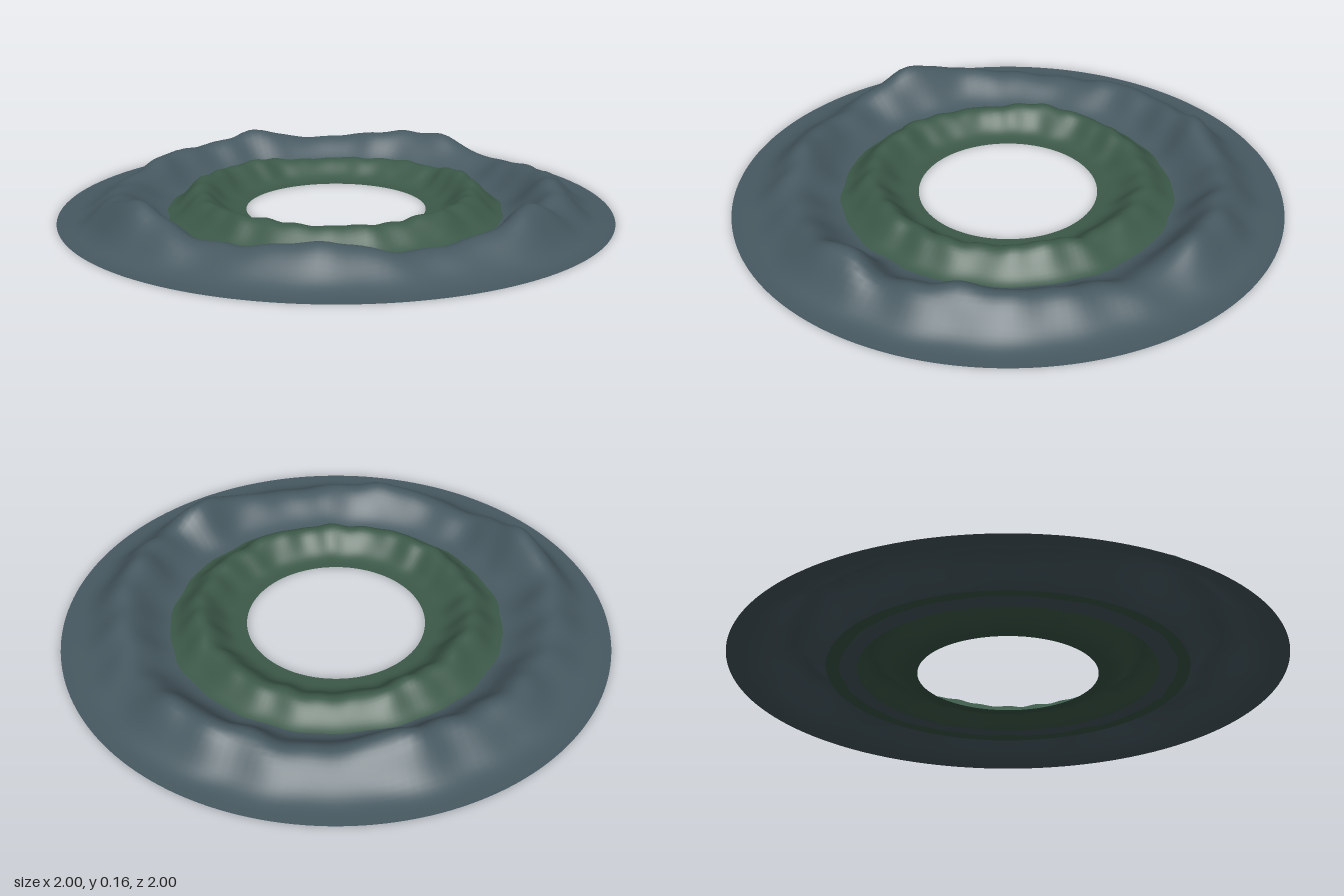
import * as THREE from 'three';
import { mergeVertices } from 'three/addons/utils/BufferGeometryUtils.js';

// Crest heights and crest radii at even steps around each ring, from +x turning towards +z
const OUTER_HEIGHTS = [
  0.146, 0.112, 0.085, 0.072, 0.074, 0.1, 0.112, 0.095, 0.08,
  0.084, 0.125, 0.156, 0.112, 0.092, 0.08, 0.074, 0.08, 0.1,
  0.106, 0.106, 0.12, 0.136, 0.1, 0.09, 0.1, 0.118, 0.124,
  0.122, 0.076, 0.07, 0.09, 0.1, 0.112, 0.124, 0.108, 0.09,
];
const OUTER_RADII = [0.79, 0.775, 0.77, 0.78, 0.8, 0.77, 0.765, 0.755, 0.77, 0.78, 0.765, 0.775];
const INNER_HEIGHTS = [
  0.08, 0.088, 0.078, 0.08, 0.078, 0.084, 0.084, 0.08, 0.075, 0.075, 0.088, 0.088,
  0.08, 0.085, 0.07, 0.062, 0.066, 0.068, 0.074, 0.07, 0.092, 0.088, 0.078, 0.082,
];
const INNER_RADII = [0.485, 0.49, 0.495, 0.495, 0.49, 0.495, 0.49, 0.49, 0.495, 0.49, 0.495, 0.49];

// Smooth periodic lookup in a table
function sampleLoop(table, angle) {
  const n = table.length;
  const t = ((angle / (Math.PI * 2)) * n + n) % n;
  const i = Math.floor(t), f = t - i;
  const [a, b, c, d] = [-1, 0, 1, 2].map((k) => table[(i + k + n) % n]);
  return b + 0.5 * f * (c - a + f * (2 * a - 5 * b + 4 * c - d + f * (3 * (b - c) + d - a)));
}

// An open ring of hills: flat at both rims, swelling to an uneven crest between
function hillRing(name, inner, outer, heights, radii, material) {
  const flat = new THREE.RingGeometry(inner, outer, 180, 28);
  flat.rotateX(-Math.PI / 2);
  flat.deleteAttribute('uv');
  flat.deleteAttribute('normal');
  const geometry = mergeVertices(flat, 1e-5);
  const pos = geometry.attributes.position;
  for (let i = 0; i < pos.count; i++) {
    const x = pos.getX(i), z = pos.getZ(i);
    const angle = Math.atan2(z, x);
    const u = THREE.MathUtils.clamp((Math.hypot(x, z) - inner) / (outer - inner), 0, 1);
    // Move the crest to its radius, with small kinks along the ring
    const kink = 0.012 * (Math.sin(angle * 13 + 2) + Math.sin(angle * 22 + 1));
    const shift = 0.5 - (sampleLoop(radii, angle) - inner) / (outer - inner) + kink;
    const v = u + shift * u * (1 - u) * 4;
    const ripple = 1 + 0.03 * Math.sin(angle * 29 + u * 8);
    const bump = Math.pow(Math.max(0, Math.sin(Math.PI * v)), 4);
    pos.setY(i, sampleLoop(heights, angle) * bump * ripple);
  }
  geometry.computeVertexNormals();
  const mesh = new THREE.Mesh(geometry, material);
  mesh.name = name;
  return mesh;
}

export function createModel() {
  const slate = new THREE.MeshStandardMaterial({ color: 0x475961, side: THREE.DoubleSide });
  slate.name = 'slate';
  const green = new THREE.MeshStandardMaterial({ color: 0x3c5949, side: THREE.DoubleSide });
  green.name = 'forest green';

  const model = new THREE.Group();
  model.name = 'hillRings';
  // Far mountains, and the nearer foothills overlapping their inner rim
  model.add(hillRing('outerMountains', 0.545, 1, OUTER_HEIGHTS, OUTER_RADII, slate));
  model.add(hillRing('innerHills', 0.328, 0.655, INNER_HEIGHTS, INNER_RADII, green));
  return model;
}
